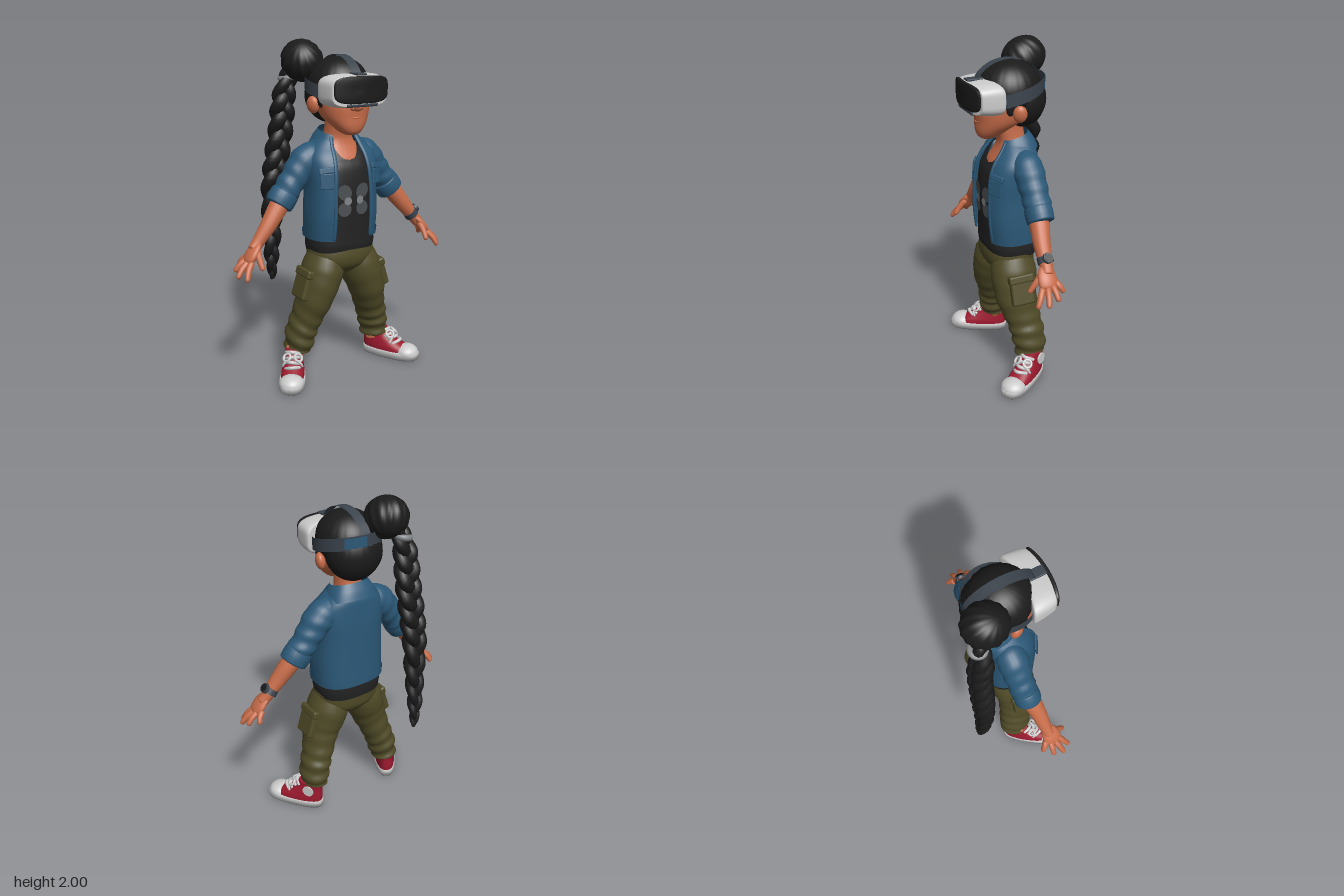
import * as THREE from 'three';
import { RoundedBoxGeometry } from 'three/addons/geometries/RoundedBoxGeometry.js';

const mat = (name, color, double) => {
  const m = new THREE.MeshStandardMaterial({ color });
  m.name = name;
  if (double) m.side = THREE.DoubleSide;
  return m;
};

// Catmull-Rom sampling of a list of number rows
const cr = (a, b, c, d, t) => 0.5 * (2 * b + (c - a) * t + (2 * a - 5 * b + 4 * c - d) * t * t + (3 * b - a - 3 * c + d) * t ** 3);
function sample(rows, t) {
  const n = rows.length - 1, p = t * n, i = Math.min(Math.floor(p), n - 1);
  const at = k => rows[Math.max(0, Math.min(n, k))];
  return rows[0].map((_, k) => cr(at(i - 1)[k], at(i)[k], at(i + 1)[k], at(i + 2)[k], p - i));
}

// Surface from f(u, v); u runs around, v runs along
function grid(nu, nv, closed, f) {
  const pos = [], idx = [], cols = closed ? nu : nu + 1;
  for (let j = 0; j <= nv; j++) for (let i = 0; i < cols; i++) pos.push(...f(i / nu, j / nv, j));
  for (let j = 0; j < nv; j++) for (let i = 0; i < nu; i++) {
    const a = j * cols + i, b = j * cols + (i + 1) % cols;
    idx.push(a, b, b + cols, a, b + cols, a + cols);
  }
  const g = new THREE.BufferGeometry();
  g.setAttribute('position', new THREE.Float32BufferAttribute(pos, 3));
  g.setIndex(idx);
  g.computeVertexNormals();
  return g;
}

// Superellipse cross-sections [y, halfWidth, zFront, zBack, frontGap], bottom to top
function stack(secs, { n = 2.4, open = false, smooth = 5, seg = 44 } = {}) {
  const rows = [], count = (secs.length - 1) * smooth;
  for (let i = 0; i <= count; i++) rows.push(sample(secs, i / count));
  if (!open) {
    const cap = r => [r[0], 0, (r[2] + r[3]) / 2, (r[2] + r[3]) / 2];
    rows.unshift(cap(rows[0]));
    rows.push(cap(rows[rows.length - 1]));
  }
  const pw = v => Math.sign(v) * Math.abs(v) ** (2 / n);
  return grid(seg, rows.length - 1, false, (u, v, j) => {
    const [y, rx, zf, zb, w = 0] = rows[j];
    const gap = w > 0.001 ? Math.asin(Math.min(1, w / rx) ** (n / 2)) : 0;
    const a = gap + (2 * Math.PI - 2 * gap) * u;
    return [rx * pw(Math.sin(a)), y, (zf + zb) / 2 + (zf - zb) / 2 * pw(Math.cos(a))];
  });
}

// Rounded tapering tube through rows [x, y, z, radius]; flat = [scale near z, scale across]
function limb(rows, { flat = [1, 1], mod = () => 1, e = 0.08, m = 28, seg = 16 } = {}) {
  const ref = new THREE.Vector3(0, 0, 1);
  return grid(seg, m, true, (u, v) => {
    const t = (1 - Math.cos(Math.PI * v)) / 2, a = u * Math.PI * 2, p = sample(rows, t);
    const p0 = sample(rows, Math.max(0, t - 0.01)), p1 = sample(rows, Math.min(1, t + 0.01));
    const T = new THREE.Vector3(p1[0] - p0[0], p1[1] - p0[1], p1[2] - p0[2]).normalize();
    const N = ref.clone().addScaledVector(T, -T.dot(ref)).normalize(), B = T.clone().cross(N);
    const k = Math.max(0, 1 - Math.min(t, 1 - t) / e);
    const r = p[3] * Math.sqrt(Math.max(0, 1 - k * k)) * mod(t, a);
    return new THREE.Vector3(p[0], p[1], p[2])
      .addScaledVector(N, r * flat[0] * Math.cos(a)).addScaledVector(B, r * flat[1] * Math.sin(a)).toArray();
  });
}

// Move vertices by a rule
function warp(g, f) {
  const p = g.attributes.position, v = new THREE.Vector3();
  for (let i = 0; i < p.count; i++) { f(v.fromBufferAttribute(p, i)); p.setXYZ(i, v.x, v.y, v.z); }
  g.computeVertexNormals();
  return g;
}

// Ellipsoid with optional combed ridges
const blob = (rx, ry, rz, ridges = 0, amp = 0) => grid(64, 24, true, (u, v) => {
  const a = u * Math.PI * 2, b = (v - 0.5) * Math.PI;
  const k = 1 - amp * Math.abs(Math.sin(a * ridges / 2 + b)) * Math.cos(b);
  return [rx * k * Math.cos(b) * Math.sin(a), ry * Math.sin(b), rz * k * Math.cos(b) * Math.cos(a)];
});

export function createModel() {
  const root = new THREE.Group();
  root.name = 'character';
  const skin = mat('skin', 0xc66c49), light = mat('light grey', 0x808487), black = mat('black hair', 0x1b1b1b);
  const denim = mat('denim', 0x2b5877, true), shirtM = mat('charcoal shirt', 0x222223, true), olive = mat('olive', 0x4f4a27);
  const red = mat('red canvas', 0x9c1a2f, true), white = mat('white', 0xcccccc), grey = mat('slate', 0x3b434c, true), print = mat('print grey', 0x4c4f52);
  const add = (name, geo, m, pos = [0, 0, 0], rot = [0, 0, 0], parent = root) => {
    const o = new THREE.Mesh(geo, m);
    o.name = name;
    o.position.set(...pos);
    o.rotation.set(...rot);
    parent.add(o);
    return o;
  };
  const mir = (s, rows) => rows.map(([x, ...r]) => [s * x, ...r]);

  // Head
  add('head', stack([[1.478, .03, .19, .12], [1.495, .062, .212, .08], [1.53, .096, .222, .03], [1.58, .132, .222, -.05],
    [1.65, .15, .222, -.09], [1.74, .155, .2, -.1], [1.82, .12, .15, -.08]], { n: 2.2 }), skin);
  add('neck', stack([[1.28, .15, .15, -.08], [1.33, .15, .135, -.08], [1.38, .13, .108, -.08], [1.42, .1, .092, -.075],
    [1.46, .08, .088, -.07], [1.52, .073, .1, -.06], [1.58, .073, .1, -.06]]), skin);
  add('nose', blob(.032, .024, .028), skin, [0, 1.64, .23]);
  add('mouth', limb([[-.06, 1.592, .2, .004], [0, 1.578, .221, .006], [.065, 1.6, .2, .004]]), skin);
  for (const s of [1, -1]) {
    add('ear', blob(.028, .05, .04), skin, [s * .172, 1.643, .03], [0, -s * .4, -s * .15]);
    add('nostril', blob(.016, .014, .018), skin, [s * .025, 1.634, .222]);
    add('sideburn', blob(.018, .05, .026), black, [s * .148, 1.68, .078]);
  }

  // Hair, bun and braid
  add('hairCap', blob(.178, .165, .188, 22, .025), black, [0, 1.745, .02]);
  add('hairBack', blob(.168, .17, .15, 22, .02), black, [0, 1.69, -.045]);
  add('bun', blob(.125, .118, .138, 14, .07), black, [-.148, 1.88, -.138], [.5, 0, .3]);
  const braid = [[-.19, 1.83, -.2, .034], [-.235, 1.67, -.208, .047], [-.245, 1.5, -.228, .05], [-.275, 1.31, -.236, .051],
    [-.3, 1.12, -.243, .049], [-.31, .88, -.248, .041], [-.31, .67, -.265, .03], [-.297, .525, -.283, .012]];
  for (let k = 0; k < 3; k++) {
    const rows = [];
    for (let i = 0; i <= 70; i++) {
      const [x, y, z, r] = sample(braid, i / 70), a = i / 70 * Math.PI * 7.5 + k * Math.PI * 2 / 3;
      rows.push([x + r * .72 * Math.sin(a), y, z + r * .42 * Math.sin(2 * a), r * .84]);
    }
    add('braidStrand', limb(rows, { m: 150, seg: 9, e: .02 }), black);
  }
  add('hairTie', new THREE.TorusGeometry(.04, .018, 10, 24), light, [-.208, 1.782, -.212], [Math.PI / 2, .2, 0]);

  // Headset
  const bend = g => warp(g, v => { v.z -= .9 * v.x * v.x; });
  const pod = rows => bend(stack(rows.map(([z, w, h]) => [z, w, h, -h]), { n: 4, smooth: 2, seg: 64 }).rotateX(Math.PI / 2));
  add('headsetShell', pod([[.15, .18, .08], [.16, .194, .091], [.21, .192, .092], [.265, .184, .085], [.287, .176, .079]]), white, [0, 1.73, 0]);
  add('headsetVisor', pod([[.28, .168, .072], [.293, .171, .075], [.301, .164, .068], [.303, .08, .03]]), black, [0, 1.741, 0]);
  add('noseGasket', new RoundedBoxGeometry(.2, .02, .024, 2, .008), grey, [0, 1.656, .276]);

  // Head straps; span = start and end angle around the head
  const band = (span, out, height) => grid(60, 1, false, (u, v) => {
    const a = span[0] + (span[1] - span[0]) * u, z = .02 + (.2 + out) * Math.cos(a);
    return [(.192 + out) * Math.sin(a), 1.717 + (.13 - z) * .24 + (v - .5) * height, z];
  });
  add('headStrap', band([0, Math.PI * 2], 0, .075), grey);
  add('strapPad', band([2.45, 3.1], .005, .06), denim);
  add('topStrap', grid(2, 30, false, (u, v) => {
    const a = Math.PI * (.08 + .92 * v);
    return [(u - .5) * .06, 1.747 + .173 * Math.sin(a), .03 + .21 * Math.cos(a)];
  }), grey);
  add('topStrapFront', new RoundedBoxGeometry(.058, .012, .1, 2, .005), grey, [0, 1.823, .23]);

  // Shirt with plain four-lobed print
  add('shirt', stack([[.77, .2, .18, -.115, 0], [.82, .208, .19, -.12, 0], [.88, .205, .19, -.118, 0], [1, .2, .19, -.115, 0], [1.15, .2, .19, -.115, 0],
    [1.27, .2, .175, -.11, 0], [1.325, .19, .153, -.11, 0], [1.34, .187, .145, -.108, .04], [1.38, .17, .12, -.1, .068], [1.42, .13, .096, -.09, .08]],
  { n: 2.6, open: true }), shirtM);
  for (const s of [1, -1]) {
    for (const [y, h, r] of [[1.15, 1.15, -.6], [1.05, 1, .6]])
      add('printLobe', new THREE.CircleGeometry(.042, 20).scale(1, h, 1), print, [s * .058, y, .194], [0, s * .12, s * r]);
    add('printSpot', new THREE.CircleGeometry(.024, 16), light, [s * .04, 1.1, .201], [0, s * .1, 0]);
  }

  // Jacket
  const jacket = [[.87, .216, .197, -.13, .118], [1, .22, .21, -.127, .115], [1.15, .215, .21, -.126, .112], [1.27, .22, .197, -.125, .105],
    [1.35, .215, .165, -.12, .098], [1.41, .175, .12, -.115, .088], [1.46, .12, .09, -.095, .075]];
  add('jacketBody', stack(jacket, { n: 2.6, open: true }), denim);
  add('jacketHem', stack([[.865, .221, .202, -.135, .118], [.905, .224, .207, -.135, .116]], { n: 2.6, open: true, smooth: 1 }), denim);
  add('collar', stack([[-.045, .165, .15, -.125, .1], [.005, .14, .12, -.115, .085], [.05, .112, .09, -.095, .075]], { open: true }), denim, [0, 1.44, 0], [.25, 0, 0]);

  for (const s of [1, -1]) {
    add('jacketEdge', limb(jacket.map(([y, rx, zf, zb, w]) =>
      [s * (w + .006), y, (zf + zb) / 2 + (zf - zb) / 2 * (1 - (w / rx) ** 2.6) ** (1 / 2.6), .012]), { e: .02, flat: [.6, 1], seg: 10 }), denim);
    add('chestPocket', new RoundedBoxGeometry(.08, .09, .012, 2, .005), denim, [s * .163, 1.225, .177], [-.1, s * .5, 0]);
    add('pocketFlap', new RoundedBoxGeometry(.09, .035, .016, 2, .007), denim, [s * .163, 1.285, .168], [-.25, s * .5, 0]);

    // Arms
    const folds = (t, a) => 1 + .07 * Math.sin(t * 34 + 1.8 * Math.sin(a)) * t;
    add('sleeve', limb(mir(s, [[.12, 1.36, -.005, .07], [.2, 1.325, -.005, .09], [.29, 1.215, -.004, .08], [.372, 1.105, 0, .077]]),
      { flat: [1, 1], mod: folds, m: 44, seg: 24 }), denim);
    add('cuff', limb(mir(s, [[.335, 1.155, 0, .083], [.365, 1.115, .002, .087], [.395, 1.075, .004, .082]]),
      { flat: [.92, 1], e: .16, seg: 24 }), denim);
    add('forearm', limb(mir(s, [[.33, 1.16, .005, .055], [.4, 1.07, .018, .056], [.47, .98, .035, .048], [.545, .89, .045, .036], [.58, .85, .055, .035]])), skin);
    add('palm', limb(mir(s, [[.54, .895, .045, .034], [.575, .855, .058, .05], [.6, .822, .062, .054], [.625, .785, .065, .045]]), { flat: [1.05, .5], e: .2 }), skin);
    const fingers = [['pinky', .597, .815, .02, .636, .757, -.02], ['ringFinger', .61, .805, .043, .685, .738, .035], ['middleFinger', .612, .8, .07, .697, .718, .1],
      ['indexFinger', .605, .8, .095, .662, .708, .152], ['thumb', .562, .858, .08, .567, .76, .16]];
    for (const [name, x, y, z, x2, y2, z2] of fingers)
      add(name, limb(mir(s, [[x, y, z, .02], [(x + x2) / 2 + .006, (y + y2) / 2 + .006, (z + z2) / 2, .018], [x2, y2, z2, .014]]), { e: .15, m: 12, seg: 10 }), skin);

    // Trouser legs with folds gathering at the ankle
    add('trouserLeg', limb(mir(s, [[.1, .77, .047, .1], [.128, .66, .05, .124], [.177, .52, .055, .112], [.222, .38, .028, .094], [.258, .27, .01, .09], [.275, .155, 0, .08]]),
      { flat: [1.14, 1], m: 70, seg: 28, e: .03, mod: (t, a) => 1 + .09 * t * t * Math.sin(t * 46 + 1.6 * Math.sin(a + s)) }), olive);
    const pocket = new THREE.Group();
    pocket.name = 'cargoPocket';
    pocket.position.set(s * .265, .595, .057);
    pocket.rotation.z = s * .3;
    root.add(pocket);
    add('pocketBody', new RoundedBoxGeometry(.045, .16, .145, 3, .015), olive, [0, -.01, 0], [0, 0, 0], pocket);
    add('pocketTop', new RoundedBoxGeometry(.055, .05, .158, 3, .012), olive, [0, .068, 0], [0, 0, 0], pocket);

    // Ankle showing at the shoe opening
    const ax = s > 0 ? .282 : -.298;
    add('ankle', limb([[ax, .21, .01, .055], [ax, .15, .01, .066], [ax, .105, .01, .06]], { flat: [.5, 1], e: .2 }), skin);

    // Shoes, toes turned out
    const shoe = new THREE.Group();
    shoe.name = 'shoe';
    shoe.position.set(s * .296, 0, -.008);
    shoe.rotation.y = s * .56;
    root.add(shoe);
    const part = (name, geo, m, pos, rot) => add(name, geo, m, pos, rot, shoe);
    const taper = g => warp(g, v => { v.x *= .88 + .9 * Math.max(0, v.z); });
    part('outsole', taper(stack([[0, .069, .295, -.069], [.01, .073, .3, -.073]], { n: 2.6, smooth: 1 })), light);
    part('soleRim', taper(stack([[.008, .076, .304, -.075], [.042, .076, .304, -.075], [.048, .07, .297, -.07]], { n: 2.6, smooth: 1 })), white);
    part('upper', taper(stack([[.04, .07, .27, -.068], [.07, .069, .235, -.07], [.1, .063, .175, -.07], [.14, .056, .11, -.07], [.185, .056, .08, -.072]])), red);
    part('toeCap', warp(blob(.074, .05, .073), v => { v.y = Math.max(v.y, -.02); }), white, [0, .042, .226]);
    for (let i = 0; i < 4; i++) {
      const y = .108 + i * .021, z = .172 - i * .026, k = i % 2 ? 1 : -1;
      part('lace', limb([[-.046, y - .012 + k * .005, z - .03, .01], [0, y + .008, z + .008, .011], [.046, y - .012 - k * .005, z - .03, .01]], { m: 14, seg: 8 }), white);
    }
    for (const k of [1, -1]) {
      part('bowLoop', new THREE.TorusGeometry(.024, .008, 8, 18), white, [k * .034, .155, .122], [-.9, k * .5, 0]);
      part('laceEnd', limb([[k * .01, .15, .13, .008], [k * .045, .13, .14, .008], [k * .06, .1, .13, .007]], { m: 12, seg: 8 }), white);
    }
    if (s > 0) part('anklePatch', new THREE.CylinderGeometry(.036, .036, .009, 24), white, [.055, .132, 0], [0, 0, Math.PI / 2]);
  }

  // Trouser seat
  add('trouserSeat', stack([[.64, .11, .12, -.06], [.69, .185, .175, -.1], [.75, .207, .192, -.108], [.82, .2, .183, -.11]]), olive);

  // Watch on the left wrist
  const watch = new THREE.Group();
  watch.name = 'watch';
  watch.position.set(.523, .917, .042);
  watch.rotation.z = .69;
  root.add(watch);
  add('watchBand', new THREE.CylinderGeometry(.044, .046, .036, 24), grey, [0, 0, 0], [0, 0, 0], watch);
  add('watchCase', new THREE.CylinderGeometry(.028, .031, .018, 20), grey, [.044, 0, 0], [0, 0, -Math.PI / 2], watch);
  add('watchFace', new THREE.CylinderGeometry(.023, .023, .006, 20), black, [.054, 0, 0], [0, 0, -Math.PI / 2], watch);
  return root;
}
